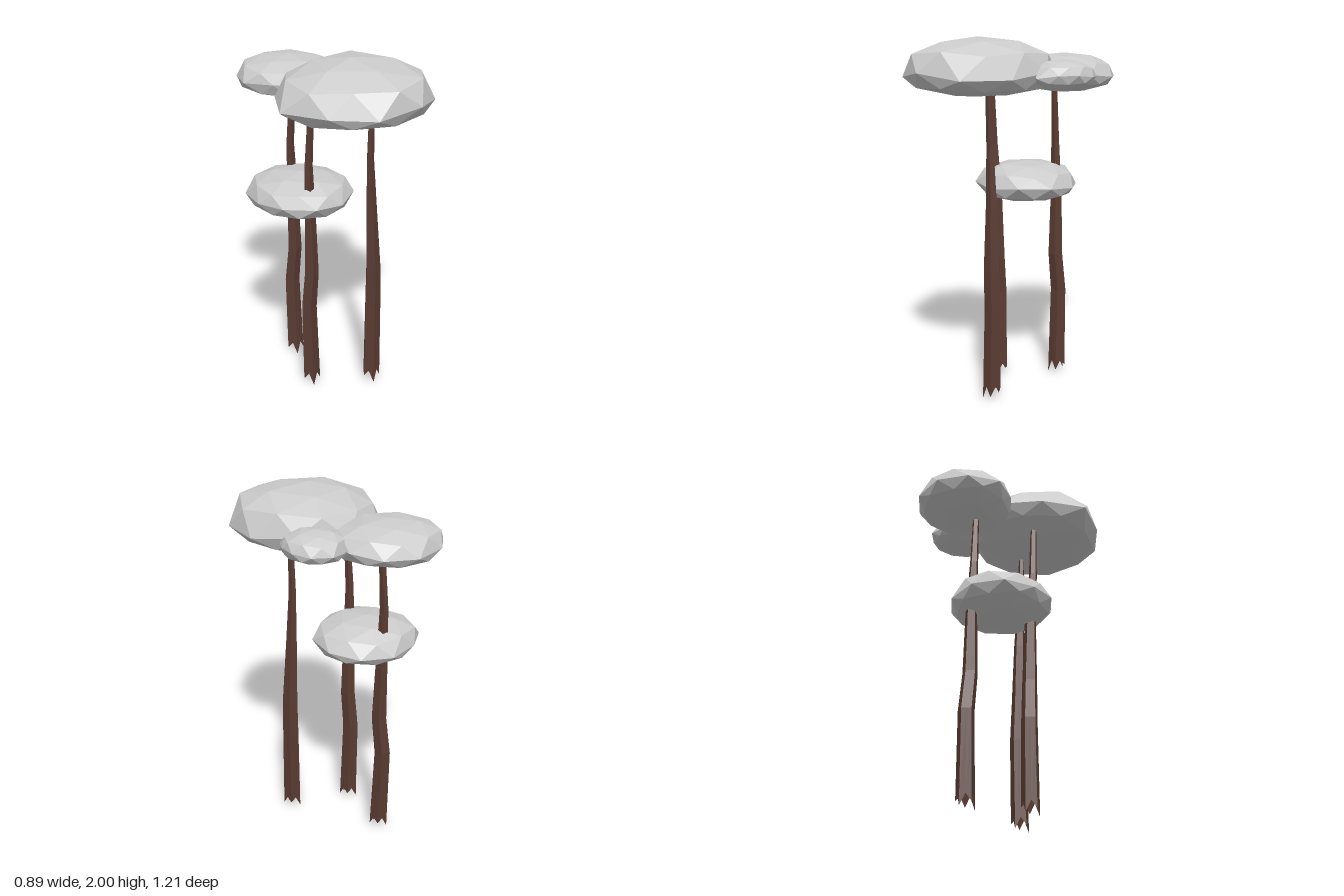
import * as THREE from 'three';

const leafMat = new THREE.MeshStandardMaterial({ color: 0xcccccc, flatShading: true });
const barkMat = new THREE.MeshStandardMaterial({ color: 0x5a3c32, flatShading: true, side: THREE.DoubleSide });

// Flattened faceted foliage clump. radii: ten outline radii at 18, 54, 90 ... degrees from +x towards +z
function canopy(name, [cx, cy, cz], up, down, radii) {
  const geo = new THREE.IcosahedronGeometry(1, 1);
  geo.rotateZ(-Math.atan(2 / (1 + Math.sqrt(5)))); // one corner straight up
  const pos = geo.attributes.position;
  for (let i = 0; i < pos.count; i++) {
    const x = pos.getX(i), y = pos.getY(i), z = pos.getZ(i);
    // blend between neighbouring outline radii
    const t = (THREE.MathUtils.radToDeg(Math.atan2(z, x)) - 18 + 720) / 36;
    const k = Math.floor(t);
    const r = THREE.MathUtils.lerp(radii[k % 10], radii[(k + 1) % 10], t - k);
    // smooth wobble keeps shared corners together
    const wobble = Math.sin(7 * x + 11 * z + 5 * y + cx * 20);
    const h = Math.sign(y) * Math.pow(Math.abs(y), 0.85) * (y > 0 ? up : down);
    const rim = 1 - Math.abs(y);
    const s = 1 + 0.05 * wobble * (1 - rim);
    pos.setXYZ(i, cx + x * r * s, cy + h + 0.09 * up * wobble * rim, cz + z * r * s);
  }
  geo.computeVertexNormals();
  const mesh = new THREE.Mesh(geo, leafMat);
  mesh.name = name;
  return mesh;
}

// Fluted, slightly crooked trunk with a jagged foot. path: rows of [x, y, z, radius]
function trunk(name, path) {
  const sides = 10, rows = path.length - 1;
  const geo = new THREE.CylinderGeometry(1, 1, 1, sides, rows, true);
  const pos = geo.attributes.position;
  for (let i = 0; i < pos.count; i++) {
    const x = pos.getX(i), z = pos.getZ(i);
    const row = Math.round((pos.getY(i) + 0.5) * rows);
    const j = (Math.round(Math.atan2(x, z) / (2 * Math.PI) * sides) + sides) % sides;
    const [px, py, pz, r] = path[row];
    const flute = j % 2 ? 0.84 : 1.04;
    const jag = row === 0 ? (j % 2 ? 0.075 : 0.012 * (j % 5)) : 0;
    pos.setXYZ(i, px + x * r * flute, py + jag, pz + z * r * flute);
  }
  geo.computeVertexNormals();
  const mesh = new THREE.Mesh(geo, barkMat);
  mesh.name = name;
  return mesh;
}

export function createModel() {
  const group = new THREE.Group();
  group.name = 'treeCluster';

  // Foliage
  group.add(
    canopy('mainCanopy', [0.04, 1.8, 0.2], 0.2, 0.12,
      [0.43, 0.42, 0.405, 0.38, 0.435, 0.39, 0.41, 0.43, 0.41, 0.425]),
    canopy('backCanopy', [-0.14, 1.79, -0.31], 0.12, 0.1,
      [0.31, 0.3, 0.28, 0.26, 0.3, 0.295, 0.29, 0.29, 0.29, 0.29]),
    canopy('smallCanopy', [0.23, 1.795, -0.23], 0.09, 0.07,
      [0.17, 0.2, 0.17, 0.16, 0.165, 0.165, 0.165, 0.18, 0.17, 0.17]),
    canopy('lowerCanopy', [-0.15, 1.17, -0.1], 0.13, 0.1,
      [0.3, 0.29, 0.3, 0.285, 0.28, 0.31, 0.29, 0.29, 0.29, 0.3])
  );

  // Trunks
  group.add(
    trunk('leftTrunk', [
      [0.2, 0, 0.15, 0.05], [0.203, 0.52, 0.142, 0.046], [0.2, 0.74, 0.148, 0.043],
      [0.185, 1.1, 0.145, 0.031], [0.17, 1.42, 0.15, 0.02], [0.171, 1.78, 0.16, 0.015]]),
    trunk('frontRightTrunk', [
      [-0.148, 0, 0.065, 0.05], [-0.158, 0.52, 0.06, 0.044], [-0.144, 0.74, 0.07, 0.041],
      [-0.15, 1.1, 0.075, 0.032], [-0.16, 1.4, 0.09, 0.023], [-0.145, 1.78, 0.105, 0.016]]),
    trunk('backRightTrunk', [
      [-0.148, 0, -0.287, 0.05], [-0.158, 0.52, -0.295, 0.044], [-0.144, 0.74, -0.273, 0.041],
      [-0.15, 1.1, -0.275, 0.032], [-0.16, 1.4, -0.268, 0.023], [-0.143, 1.78, -0.254, 0.016]])
  );
  return group;
}
